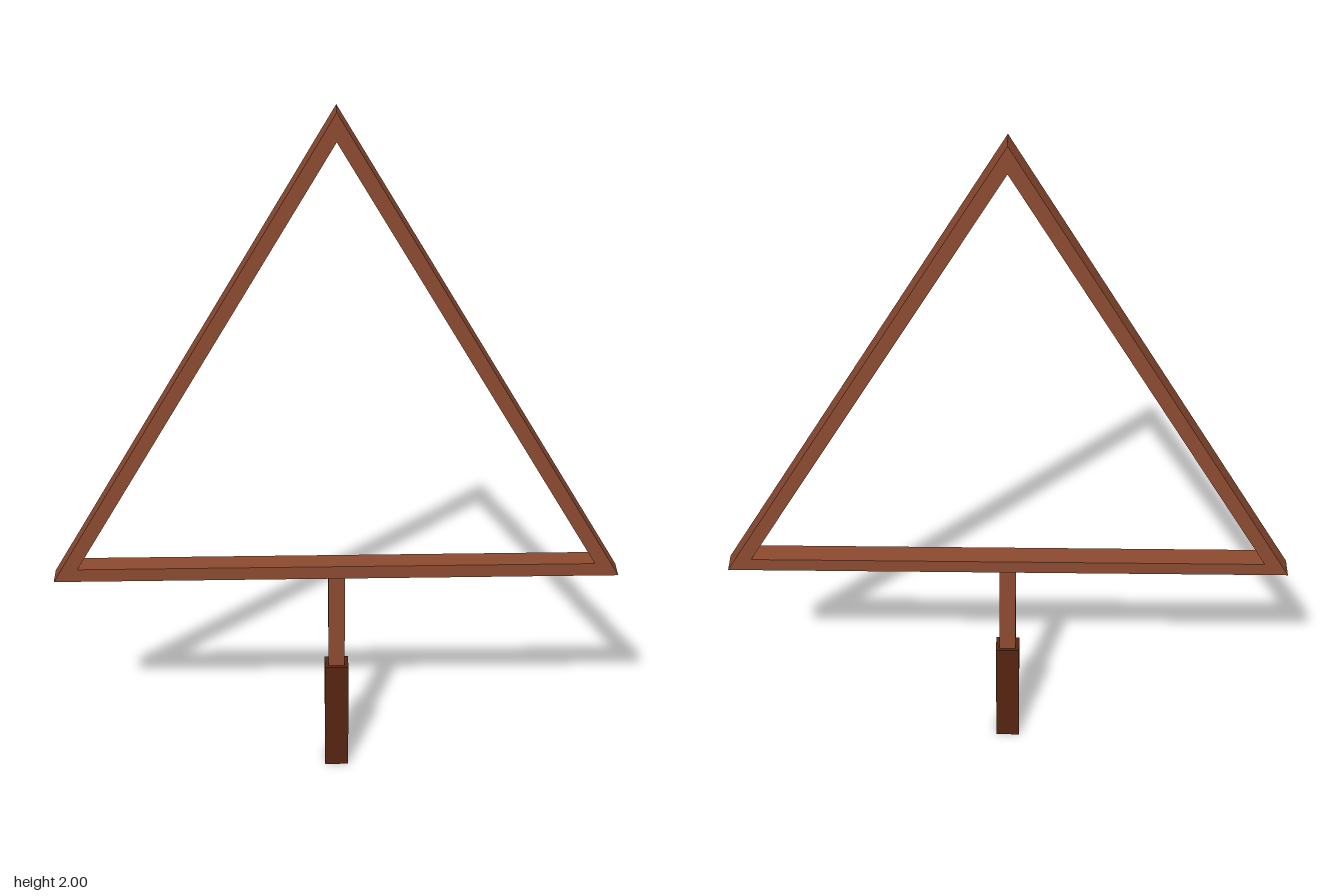
import * as THREE from 'three';

export function createModel() {
  const model = new THREE.Group();
  const wood = new THREE.MeshStandardMaterial({ color: 0x8b4a30 });
  wood.name = 'reddish brown wood';
  const darkWood = new THREE.MeshStandardMaterial({ color: 0x552412 });
  darkWood.name = 'dark brown grip';

  const add = (name, geometry, material, y) => {
    const mesh = new THREE.Mesh(geometry, material);
    mesh.name = name;
    mesh.position.y = y;
    model.add(mesh);
  };

  // Equilateral outline, inset evenly on all three sides
  const bottom = 0.64, top = 2, bar = 0.039, depth = 0.062;
  const triangle = (inset) => {
    const low = bottom + inset, high = top - 2 * inset;
    const half = (high - low) / Math.sqrt(3);
    return [
      new THREE.Vector2(-half, low),
      new THREE.Vector2(half, low),
      new THREE.Vector2(0, high),
    ];
  };

  // Open triangular frame
  const outline = new THREE.Shape(triangle(0));
  outline.holes.push(new THREE.Path(triangle(bar).reverse()));
  const frame = new THREE.ExtrudeGeometry(outline, { depth, bevelEnabled: false });
  frame.translate(0, 0, -depth / 2);
  add('triangularFrame', frame, wood, 0);

  // Slim square shaft and thicker grip
  const gripHeight = 0.34;
  const shaftHeight = bottom - gripHeight;
  add('shaft', new THREE.BoxGeometry(0.046, shaftHeight, 0.038), wood, gripHeight + shaftHeight / 2);
  add('grip', new THREE.BoxGeometry(0.067, gripHeight, 0.057), darkWood, gripHeight / 2);

  return model;
}
